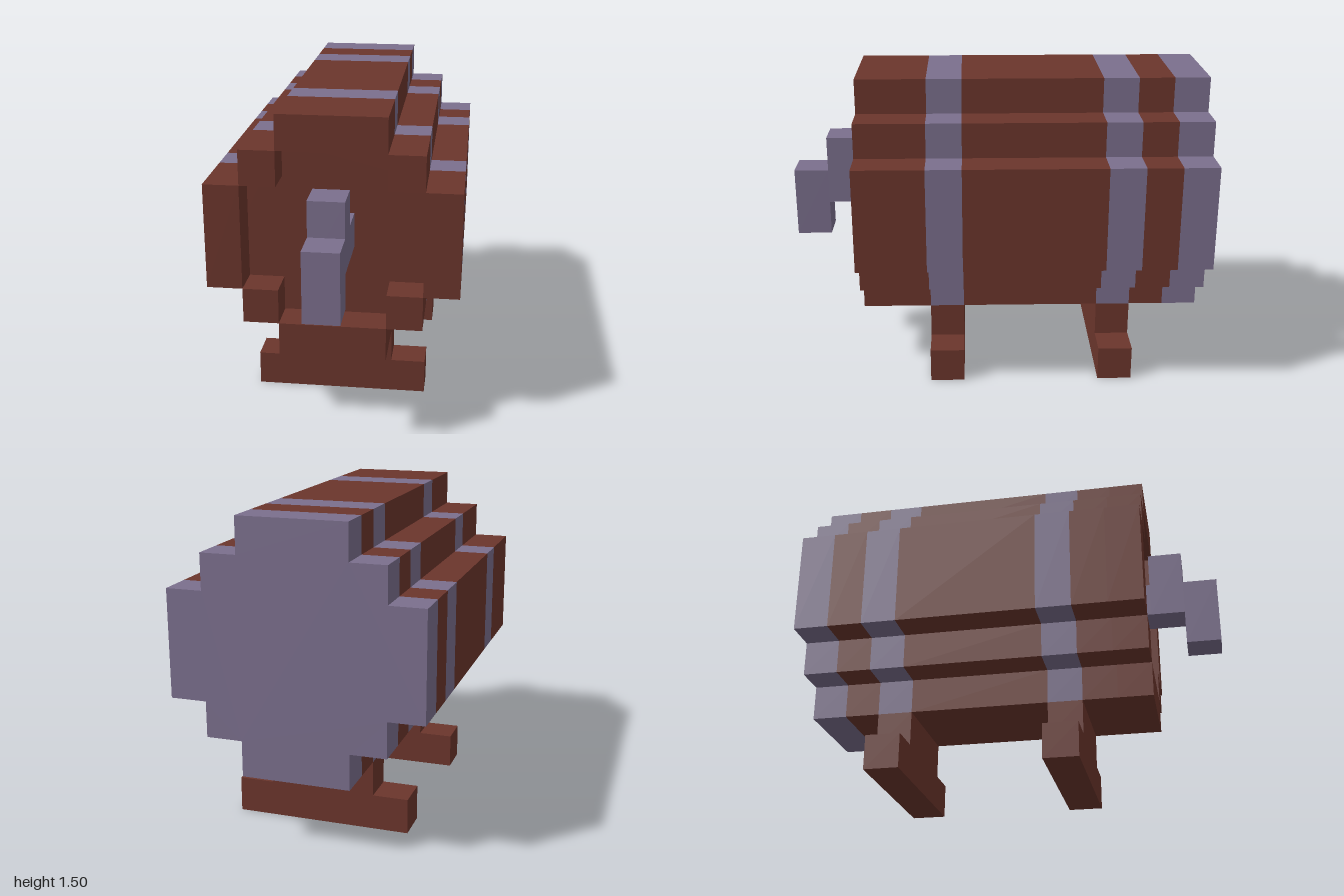
import * as THREE from 'three';

const U = 1 / 6; // one block of the grid

export function createModel() {
  const model = new THREE.Group();
  model.name = 'barrel';
  const wood = new THREE.MeshStandardMaterial({ color: 0x6b352c });
  wood.name = 'brown wood';
  const metal = new THREE.MeshStandardMaterial({ color: 0x7b6f8d });
  metal.name = 'purple grey metal';

  // Box from minimum and maximum corners, in blocks
  function box(name, material, [x0, y0, z0], [x1, y1, z1], parent = model) {
    const geometry = new THREE.BoxGeometry((x1 - x0) * U, (y1 - y0) * U, (z1 - z0) * U);
    const mesh = new THREE.Mesh(geometry, material);
    mesh.position.set((x0 + x1) / 2 * U, (y0 + y1) / 2 * U, (z0 + z1) / 2 * U);
    mesh.name = name;
    parent.add(mesh);
  }

  // Stepped round cross-section, shared by staves and hoops
  const quarter = [[3.5, 1.5], [2.5, 1.5], [2.5, 2.5], [1.5, 2.5], [1.5, 3.5]];
  const flipped = [...quarter].reverse();
  const outline = [
    ...quarter,
    ...flipped.map(([x, y]) => [-x, y]),
    ...quarter.map(([x, y]) => [-x, -y]),
    ...flipped.map(([x, y]) => [x, -y]),
  ];
  const section = new THREE.Shape(outline.map(([x, y]) => new THREE.Vector2(x * U, (y + 5.5) * U)));

  // Barrel body, alternating staves and hoops from back to front
  const cuts = [-6, -5, -4, -3, 1, 2, 3];
  for (let i = 0; i < cuts.length - 1; i++) {
    const hoop = i % 2 === 0;
    const geometry = new THREE.ExtrudeGeometry(section, {
      depth: (cuts[i + 1] - cuts[i]) * U, bevelEnabled: false,
    });
    const mesh = new THREE.Mesh(geometry, hoop ? metal : wood);
    mesh.position.z = cuts[i] * U;
    mesh.name = hoop ? 'hoop' : 'staves';
    model.add(mesh);
  }

  // Raised rim around the sunken front lid
  const rim = new THREE.Group();
  rim.name = 'frontRim';
  model.add(rim);
  box('rimTop', wood, [-1.5, 8, 3], [1.5, 9, 4], rim);
  box('rimBottom', wood, [-1.5, 2, 3], [1.5, 3, 4], rim);
  for (const s of [-1, 1]) {
    const side = s < 0 ? 'Right' : 'Left';
    box('rim' + side, wood, [s * 3 - 0.5, 4, 3], [s * 3 + 0.5, 7, 4], rim);
    for (const y of [3, 7]) {
      box('rimCorner' + side, wood, [s * 2 - 0.5, y, 3], [s * 2 + 0.5, y + 1, 4], rim);
    }
  }

  // Tap: pipe, raised valve and spout
  const tap = new THREE.Group();
  tap.name = 'tap';
  model.add(tap);
  box('pipe', metal, [-0.5, 5, 3], [0.5, 6, 4], tap);
  box('valve', metal, [-0.5, 5, 4], [0.5, 7, 5], tap);
  box('spout', metal, [-0.5, 4, 5], [0.5, 6, 6], tap);

  // Two stands, each an upright on a wider foot
  for (const [name, z] of [['frontStand', 1], ['backStand', -4]]) {
    const stand = new THREE.Group();
    stand.name = name;
    model.add(stand);
    box('upright', wood, [-1.5, 1, z], [1.5, 2, z + 1], stand);
    box('foot', wood, [-2.5, 0, z], [2.5, 1, z + 1], stand);
  }

  return model;
}
